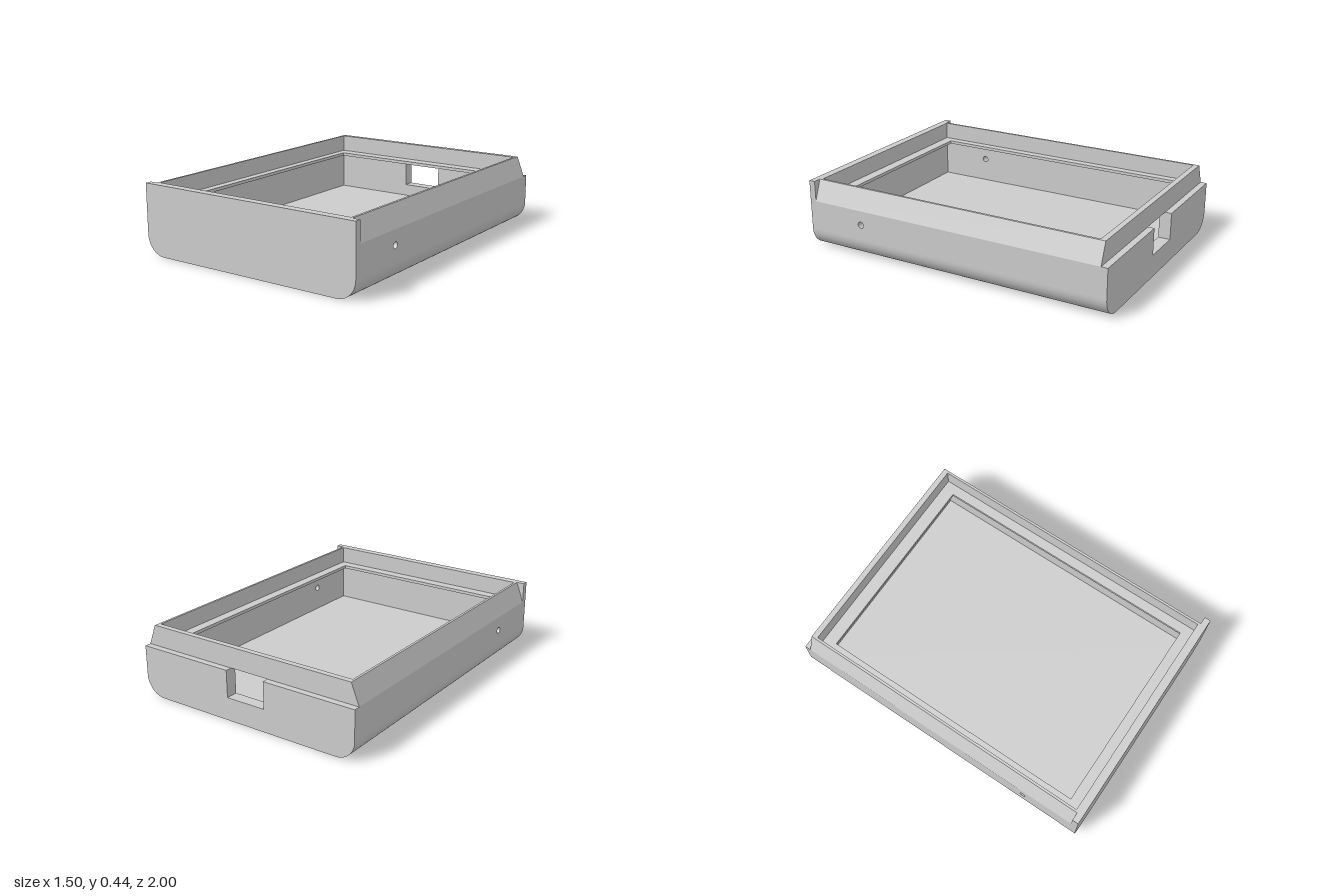
import * as THREE from 'three';
import { toCreasedNormals } from 'three/addons/utils/BufferGeometryUtils.js';

const HALF_W = 0.75, CORNER = 0.125, INNER = 0.685, FLOOR = 0.065;
const SHOULDER = 0.31, LEDGE = 0.33, TOP = 0.438;
const BACK = -0.925, FRONT = 0.947;

function polygon(points) {
  return new THREE.Shape(points.map(([a, b]) => new THREE.Vector2(a, b)));
}

// Upright profile with both lower corners rounded; topEdge runs from upper right to upper left
function roundedProfile(topEdge) {
  const s = polygon(topEdge);
  s.lineTo(-HALF_W, CORNER);
  s.absarc(-HALF_W + CORNER, CORNER, CORNER, Math.PI, Math.PI * 1.5, false);
  s.lineTo(HALF_W - CORNER, 0);
  s.absarc(HALF_W - CORNER, CORNER, CORNER, -Math.PI / 2, 0, false);
  return s;
}

function extrude(shape, depth) {
  return new THREE.ExtrudeGeometry(shape, { depth, bevelEnabled: false, curveSegments: 16 });
}

// Shape in (x, y), swept from z0 to z1
function alongZ(shape, z0, z1) {
  return toCreasedNormals(extrude(shape, z1 - z0).translate(0, 0, z0), 0.5);
}

// Shape in (z, y), swept from x0 to x1
function alongX(shape, x0, x1) {
  return toCreasedNormals(extrude(shape, x1 - x0).rotateY(-Math.PI / 2).translate(x1, 0, 0), 0.5);
}

export function createModel() {
  const group = new THREE.Group();
  group.name = 'enclosure';
  const grey = new THREE.MeshStandardMaterial({ color: 0xcccccc });
  grey.name = 'plain grey';

  const add = (name, geometry) => {
    const mesh = new THREE.Mesh(geometry, grey);
    mesh.name = name;
    group.add(mesh);
  };

  // Thin-walled base trough
  add('base', alongZ(roundedProfile([
    [HALF_W, CORNER], [INNER, CORNER], [INNER, FLOOR], [-INNER, FLOOR], [-INNER, CORNER], [-HALF_W, CORNER],
  ]), BACK, 0.96));

  // Full-height front plate
  add('frontPlate', alongZ(roundedProfile([[HALF_W, TOP], [-HALF_W, TOP]]), 0.96, 1));

  // Back wall with the connector opening
  add('backWall', alongZ(roundedProfile([
    [HALF_W, SHOULDER], [0.12, SHOULDER], [0.12, 0.142], [-0.143, 0.142], [-0.143, SHOULDER], [-HALF_W, SHOULDER],
  ]), -1, BACK));

  // Side walls with a pin hole, and sloped rims with an overhanging ledge
  for (const side of [1, -1]) {
    const label = side > 0 ? 'left' : 'right';
    const wall = polygon([[BACK, CORNER], [0.96, CORNER], [0.96, SHOULDER], [BACK, SHOULDER]]);
    const hole = new THREE.Path();
    hole.absarc(0.622, 0.22, 0.02, 0, Math.PI * 2, true);
    wall.holes.push(hole);
    add(label + 'Wall', side > 0 ? alongX(wall, INNER, HALF_W) : alongX(wall, -HALF_W, -INNER));

    const lip = side > 0 ? 0.622 : 0.632;
    const rim = [[lip, SHOULDER], [HALF_W, SHOULDER], [0.7, TOP], [INNER, TOP], [INNER, LEDGE], [lip, LEDGE]];
    add(label + 'Rim', alongZ(polygon(rim.map(([x, y]) => [x * side, y])), -0.96, 0.96));
  }

  // Back rim, set in from the wall, with its overhanging ledge
  add('backRim', alongX(polygon([
    [-0.96, SHOULDER], [-0.845, SHOULDER], [-0.845, LEDGE], [BACK, LEDGE], [BACK, TOP], [-0.96, TOP],
  ]), -0.69, 0.69));

  // Front inner wall with its overhanging ledge
  add('frontInnerWall', alongX(polygon([
    [FRONT, FLOOR], [0.96, FLOOR], [0.96, TOP], [FRONT, TOP],
    [FRONT, LEDGE], [0.88, LEDGE], [0.88, SHOULDER], [FRONT, SHOULDER],
  ]), -0.69, 0.69));

  return group;
}
